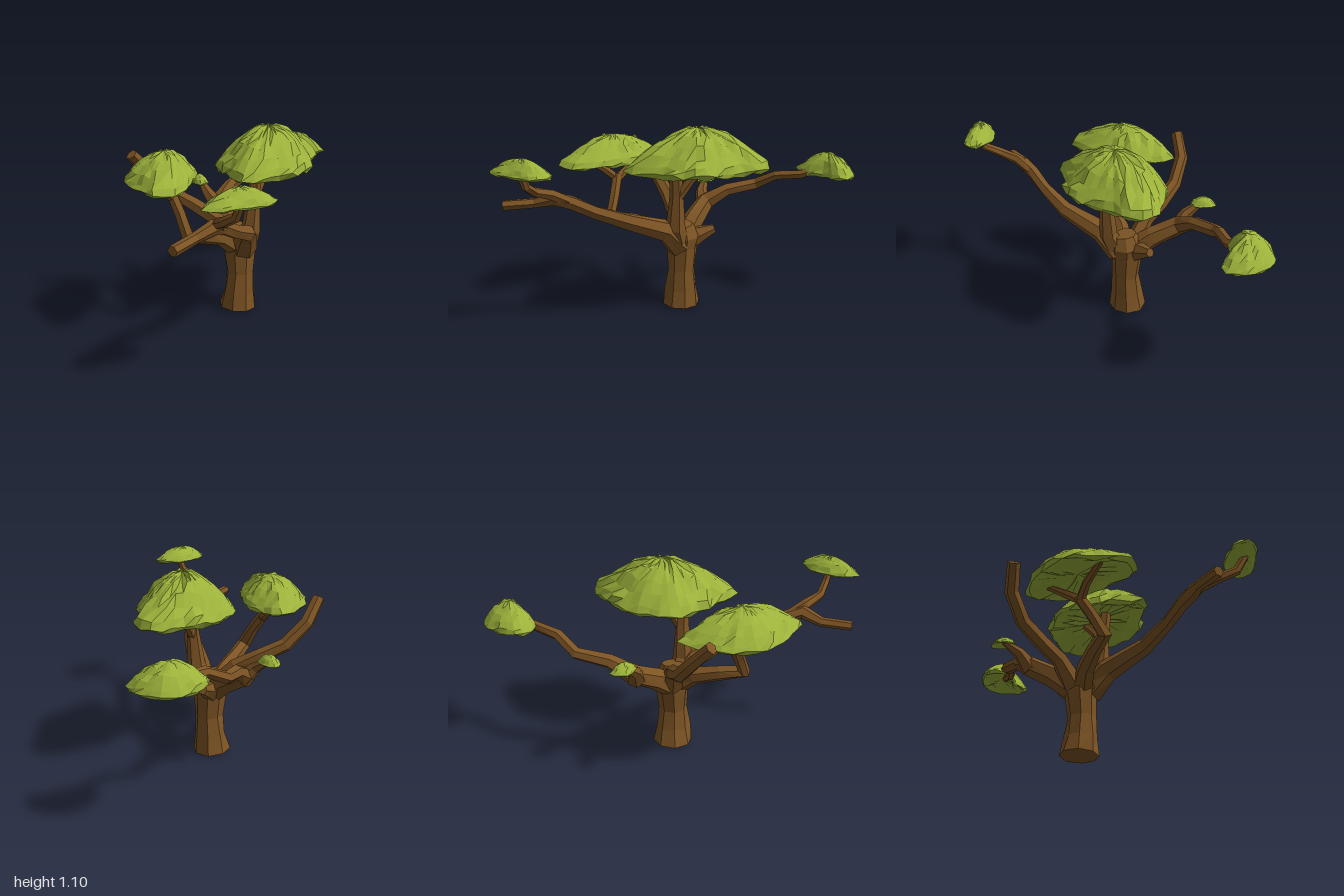
import * as THREE from 'three';

const bark = new THREE.MeshStandardMaterial({ color: 0x7d5424, flatShading: true });
const leaf = new THREE.MeshStandardMaterial({ color: 0x9cb23a, flatShading: true });

// Small seeded generator, -1..1
function seeded(seed) {
  let s = seed * 7919 + 17;
  return () => ((s = (s * 16807) % 2147483647) / 2147483647) * 2 - 1;
}

// Joins equal-sized rings of points (ordered bottom to top / start to end) and closes both ends.
function skin(rings, startPoint, endPoint, material, name) {
  const n = rings[0].length;
  const pts = [...rings.flat(), startPoint, endPoint];
  const index = [];
  const s = pts.length - 2, e = pts.length - 1, last = (rings.length - 1) * n;
  for (let j = 0; j < n; j++) {
    const k = (j + 1) % n;
    for (let i = 0; i < rings.length - 1; i++) {
      const a = i * n + j, b = i * n + k;
      index.push(a, b, b + n, a, b + n, a + n);
    }
    index.push(s, k, j, e, last + j, last + k);
  }
  const geo = new THREE.BufferGeometry().setFromPoints(pts);
  geo.setIndex(index);
  geo.computeVertexNormals();
  const mesh = new THREE.Mesh(geo, material);
  mesh.name = name;
  return mesh;
}

// Faceted limb through [x, y, z, radius] stations.
function limb(name, stations, sides = 6) {
  const rand = seeded(stations.length + sides + name.length);
  const p = stations.map(([x, y, z]) => new THREE.Vector3(x, y, z));
  const u = new THREE.Vector3(0.31, 0.2, 0.93);
  const rings = p.map((c, i) => {
    const t = p[Math.min(i + 1, p.length - 1)].clone().sub(p[Math.max(i - 1, 0)]).normalize();
    u.addScaledVector(t, -u.dot(t)).normalize();
    const v = t.clone().cross(u);
    return Array.from({ length: sides }, (_, j) => {
      const a = (j / sides) * Math.PI * 2, r = stations[i][3] * (1.05 + 0.1 * rand());
      return c.clone().addScaledVector(u, Math.cos(a) * r).addScaledVector(v, Math.sin(a) * r);
    });
  });
  return skin(rings, p[0], p[p.length - 1], bark, name);
}

// Lumpy dome of leaves: plan outline [x, z], peak [x, z], rim height, top height.
function canopy(name, outline, peak, low, high, sides, seed) {
  const rand = seeded(seed);
  const curve = new THREE.CatmullRomCurve3(outline.map(([x, z]) => new THREE.Vector3(x, 0, z)), true);
  const rim = curve.getSpacedPoints(sides).slice(0, sides);
  // order the rim so that faces look outward
  const area = rim.reduce((s, a, i) => {
    const b = rim[(i + 1) % sides];
    return s + a.x * b.z - b.x * a.z;
  }, 0);
  if (area > 0) rim.reverse();
  const h = high - low, size = Math.sqrt(Math.abs(area) / 2);
  // [scale, height]: underside, rim, then dome
  const profile = [[0.35, 0.22], [0.7, 0.16], [0.93, 0.04], [1, 0.12], [0.93, 0.26],
    [0.78, 0.47], [0.6, 0.68], [0.4, 0.85], [0.2, 0.96]];
  const rings = profile.map(([k, y]) => rim.map((q) => {
    const s = k * (1 + 0.035 * rand());
    return new THREE.Vector3(
      peak[0] + (q.x - peak[0]) * s + 0.01 * size * rand(),
      low + h * (y + 0.055 * rand()),
      peak[1] + (q.z - peak[1]) * s + 0.01 * size * rand());
  }));
  return skin(rings, new THREE.Vector3(peak[0], low + 0.25 * h, peak[1]),
    new THREE.Vector3(peak[0], high, peak[1]), leaf, name);
}

export function createModel() {
  const tree = new THREE.Group();
  tree.name = 'tree';

  // Trunk, flared at the foot and the crown
  tree.add(limb('trunk', [[-0.045, 0, -0.097, 0.105], [-0.042, 0.1, -0.092, 0.09], [-0.04, 0.22, -0.085, 0.08],
    [-0.035, 0.36, -0.09, 0.09], [-0.03, 0.43, -0.09, 0.1], [-0.03, 0.5, -0.08, 0.06]], 8));

  // Limbs
  const limbs = {
    frontRightBranch: [[-0.05, 0.38, -0.05, 0.07], [-0.13, 0.49, 0.03, 0.06], [-0.32, 0.585, 0.175, 0.042],
      [-0.5, 0.655, 0.225, 0.036], [-0.62, 0.715, 0.25, 0.036], [-0.71, 0.745, 0.275, 0.04],
      [-0.82, 0.71, 0.24, 0.028], [-0.99, 0.7, 0.25, 0.027]],
    frontRightTwig: [[-0.64, 0.725, 0.26, 0.03], [-0.72, 0.775, 0.31, 0.03], [-0.79, 0.81, 0.39, 0.025],
      [-0.81, 0.86, 0.48, 0.022], [-0.825, 0.95, 0.53, 0.02]],
    leftBranch: [[-0.04, 0.37, -0.11, 0.07], [0.03, 0.48, -0.23, 0.06], [0.11, 0.56, -0.36, 0.055],
      [0.24, 0.63, -0.375, 0.036], [0.42, 0.665, -0.4, 0.034], [0.54, 0.73, -0.34, 0.03],
      [0.68, 0.745, -0.3, 0.028], [0.83, 0.79, -0.29, 0.022]],
    backTwig: [[0.1, 0.53, -0.35, 0.05], [0.085, 0.61, -0.42, 0.035], [0.11, 0.68, -0.51, 0.016]],
    brokenStub: [[-0.02, 0.36, -0.11, 0.05], [0.07, 0.42, -0.13, 0.05], [0.16, 0.455, -0.14, 0.026]],
    backBranch: [[-0.04, 0.38, -0.12, 0.065], [-0.08, 0.53, -0.24, 0.045], [-0.12, 0.6, -0.36, 0.042],
      [-0.18, 0.67, -0.49, 0.038], [-0.26, 0.79, -0.585, 0.036], [-0.365, 0.91, -0.61, 0.032]],
    rightBranch: [[-0.05, 0.37, -0.09, 0.06], [-0.17, 0.46, -0.12, 0.048], [-0.32, 0.505, -0.13, 0.042],
      [-0.45, 0.535, -0.125, 0.038], [-0.43, 0.65, -0.19, 0.03], [-0.42, 0.75, -0.26, 0.03]],
    rightTwigOuter: [[-0.42, 0.73, -0.25, 0.026], [-0.5, 0.79, -0.25, 0.022], [-0.62, 0.86, -0.22, 0.016]],
    rightTwigInner: [[-0.42, 0.73, -0.25, 0.026], [-0.36, 0.785, -0.31, 0.022], [-0.27, 0.86, -0.38, 0.016]],
    centreBranch: [[-0.05, 0.38, -0.05, 0.07], [-0.07, 0.5, 0.01, 0.052], [-0.06, 0.7, 0.03, 0.036],
      [-0.065, 0.91, 0.05, 0.03]],
    centreTwig: [[-0.06, 0.68, 0.03, 0.03], [0.02, 0.79, 0.03, 0.026], [0.14, 0.91, 0.0, 0.022]],
  };
  for (const [name, stations] of Object.entries(limbs)) tree.add(limb(name, stations));

  // Leaf canopies
  tree.add(
    canopy('mainCanopy', [[-0.34, 0.16], [-0.29, 0.04], [-0.18, -0.13], [-0.09, -0.22], [0.09, -0.235], [0.25, -0.19],
      [0.38, -0.08], [0.465, 0.02], [0.42, 0.14], [0.3, 0.18], [0.17, 0.27], [0.02, 0.31], [-0.155, 0.25],
      [-0.32, 0.2]], [0.06, 0.04], 0.835, 1.088, 34, 3),
    canopy('rightCanopy', [[-0.74, -0.1], [-0.7, -0.24], [-0.64, -0.4], [-0.53, -0.48], [-0.39, -0.515],
      [-0.17, -0.47], [-0.18, -0.37], [-0.26, -0.21], [-0.4, -0.13], [-0.5, -0.07], [-0.66, -0.03]],
    [-0.45, -0.28], 0.82, 0.995, 28, 5),
    canopy('leftCanopy', [[0.67, -0.4], [0.74, -0.455], [0.89, -0.43], [0.97, -0.36], [0.99, -0.25], [0.95, -0.13],
      [0.86, -0.13], [0.81, -0.22], [0.7, -0.28]], [0.84, -0.3], 0.742, 0.88, 22, 8),
    canopy('frontCanopy', [[-0.995, 0.44], [-0.93, 0.4], [-0.8, 0.42], [-0.7, 0.48], [-0.66, 0.6], [-0.73, 0.63],
      [-0.85, 0.58], [-0.96, 0.51]], [-0.82, 0.505], 0.92, 1.01, 20, 11),
    canopy('backTuft', [[0.06, -0.46], [0.085, -0.56], [0.165, -0.575], [0.17, -0.51], [0.11, -0.44]],
      [0.115, -0.51], 0.655, 0.71, 12, 13),
  );
  return tree;
}
